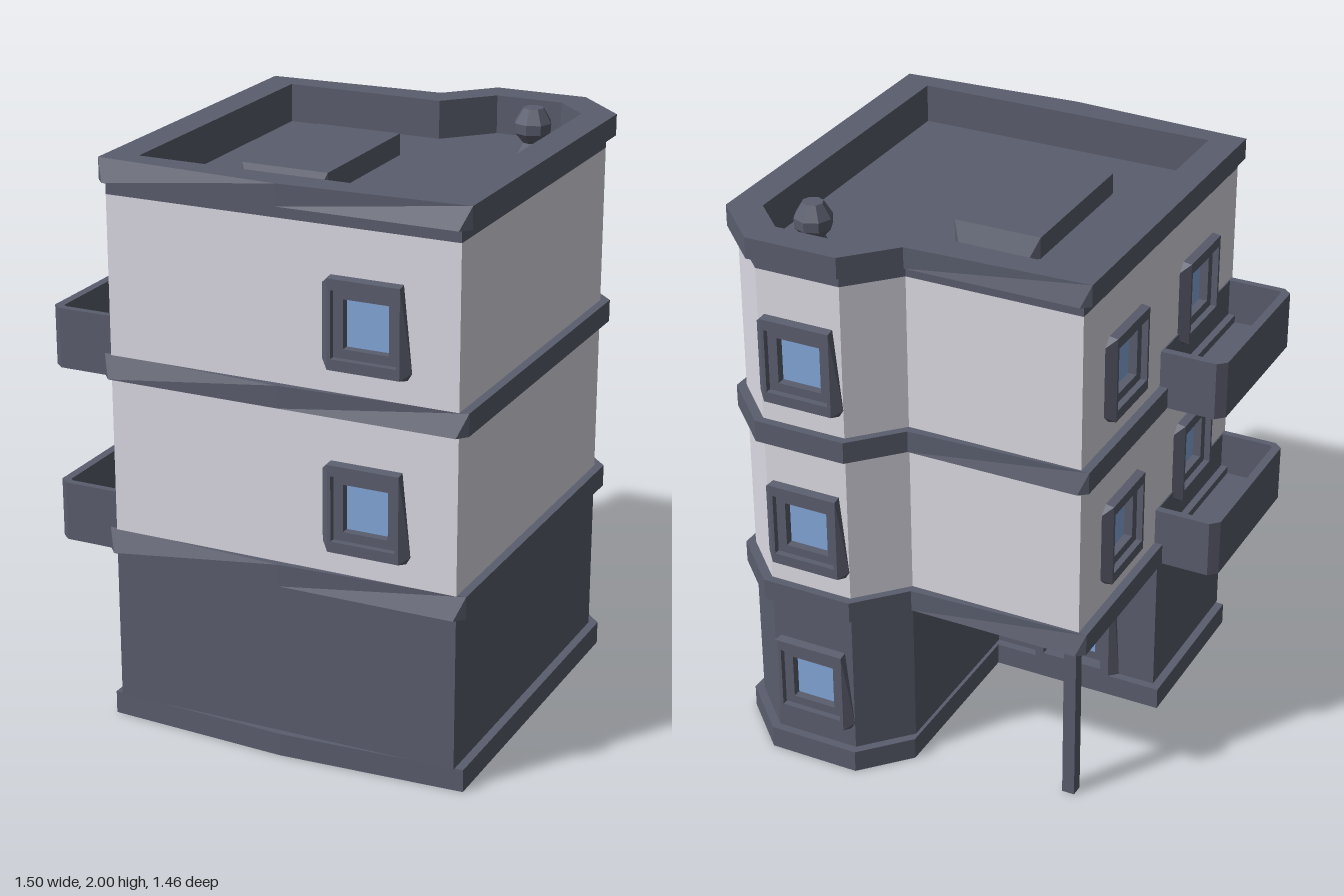
import * as THREE from 'three';

const mat = (name, color) => {
  const m = new THREE.MeshStandardMaterial({ color });
  m.name = name;
  return m;
};
const dark = mat('slate trim', 0x5a5d6d);
const light = mat('pale wall', 0xdcdbe4);
const blue = mat('window glass', 0x83a7da);

// Flat-faced solid between two plan outlines [x, z], with an optional straight hole
function loft(bottom, top, y0, y1, hole = null) {
  const toV = (list) => list.map(([x, z]) => new THREE.Vector2(x, -z));
  const lo = toV(bottom), hi = toV(top), inner = hole ? toV(hole) : [];
  if (THREE.ShapeUtils.isClockWise(lo)) { lo.reverse(); hi.reverse(); }
  if (hole && !THREE.ShapeUtils.isClockWise(inner)) inner.reverse();
  const pos = [];
  const put = (p, y) => pos.push(p.x, y, -p.y);
  const sides = (a, b) => a.forEach((p, i) => {
    const j = (i + 1) % a.length;
    if (!p.equals(a[j])) { put(p, y0); put(a[j], y0); put(b[j], y1); }
    if (!b[i].equals(b[j])) { put(p, y0); put(b[j], y1); put(b[i], y1); }
  });
  sides(lo, hi);
  if (hole) sides(inner, inner);
  const cap = (ring, y, order) => {
    const all = [...ring, ...inner];
    const faces = THREE.ShapeUtils.triangulateShape([...ring], hole ? [[...inner]] : []);
    for (const f of faces) for (const k of order) put(all[f[k]], y);
  };
  cap(hi, y1, [0, 1, 2]);
  cap(lo, y0, [0, 2, 1]);
  const g = new THREE.BufferGeometry();
  g.setAttribute('position', new THREE.Float32BufferAttribute(pos, 3));
  g.computeVertexNormals();
  return g;
}
const prism = (outline, y0, y1, hole) => loft(outline, outline, y0, y1, hole);
const rect = (w, h) => [[-w, -h], [w, -h], [w, h], [-w, h]];

function add(parent, name, geometry, material) {
  const m = new THREE.Mesh(geometry, material);
  m.name = name;
  parent.add(m);
  return m;
}

// Upper floor plan, grown outwards by d
const plan = (d) => [
  [-0.52 - d, 0.7 + d], [0.72 + d, 0.7 + d], [0.72 + d, -0.535 - 0.41 * d],
  [0.555 + 0.41 * d, -0.7 - d], [0.25 - 0.41 * d, -0.7 - d],
  [0.1 - 0.41 * d, -0.54 - d], [-0.52 - d, -0.54 - d],
];
// Ground floor plan, with the entrance corner cut out
const groundPlan = (d) => [
  ...plan(d).slice(0, 6), [0.1 - 0.41 * d, 0.105 - d], [-0.52 - d, 0.105 - d],
];
// Plinth with a slightly bowed front
const plinthPlan = [[-0.55, 0.69], [0.1, 0.725], [0.75, 0.69], ...groundPlan(0.03).slice(2)];

// Trim band: chamfered corners below, sharp corners above
const bandBack = [[0.75, -0.55], [0.57, -0.73], [0.24, -0.73], [0.09, -0.57]];
const bandLow = [[-0.55, 0.69], [-0.52, 0.725], [0.1, 0.725], [0.72, 0.725], [0.75, 0.69],
  ...bandBack, [-0.52, -0.57], [-0.55, -0.545]];
const bandHigh = [[-0.55, 0.69], [-0.55, 0.69], [0.1, 0.725], [0.75, 0.69], [0.75, 0.69],
  ...bandBack, [-0.55, -0.545], [-0.55, -0.545]];

// Window facing +z, origin on the wall, glass set back behind it
const frameBase = [[-0.125, -0.155], [-0.155, -0.125], [-0.155, 0.125], [-0.125, 0.155],
  [0.14, 0.155], [0.155, 0.13], [0.125, -0.155]];
const frameFace = [[-0.125, -0.15], [-0.125, -0.15], [-0.125, 0.15], [-0.125, 0.15],
  [0.125, 0.15], [0.125, 0.15], [0.125, -0.15]];
const upright = (g) => g.rotateX(Math.PI / 2);
const outerFrame = upright(loft(frameBase, frameFace, 0, 0.03, rect(0.113, 0.113)));
const innerFrame = upright(prism(rect(0.114, 0.114), -0.03, 0.008, rect(0.079, 0.082)));
const pane = upright(prism(rect(0.08, 0.083), -0.03, -0.022));

function makeWindow() {
  const w = new THREE.Group();
  w.name = 'window';
  add(w, 'outerFrame', outerFrame, dark);
  add(w, 'innerFrame', innerFrame, dark);
  add(w, 'glass', pane, blue);
  return w;
}

function makeDoor() {
  const door = new THREE.Group();
  door.name = 'entranceDoor';
  const base = [[-0.145, -0.27], [0.145, -0.27], [0.175, 0.27], [-0.145, 0.27]];
  add(door, 'doorFrame', upright(loft(base, rect(0.145, 0.27), 0, 0.03, rect(0.113, 0.25))), dark);
  add(door, 'doorLeaf', upright(prism(rect(0.114, 0.251), -0.03, -0.02)), dark);
  for (const [y, h] of [[0.11, 0.095], [-0.13, 0.085]]) {
    add(door, 'doorGlass', upright(prism(rect(0.073, h), -0.021, -0.014)), blue).position.y = y;
  }
  return door;
}

// One wall plate per plan edge; openings are [edge, distance along it, height, half width, half height, maker]
function addWalls(parent, name, outline, y0, y1, material, openings) {
  outline.forEach(([x, z], i) => {
    const [x2, z2] = outline[(i + 1) % outline.length];
    const length = Math.hypot(x2 - x, z2 - z);
    const box = (u0, v0, u1, v1) => [[u0, v0], [u1, v0], [u1, v1], [u0, v1]]
      .map(([u, v]) => new THREE.Vector2(u, v));
    const shape = new THREE.Shape(box(0, y0, length, y1));
    const wall = new THREE.Group();
    wall.name = name;
    for (const [edge, u, v, w, h, make] of openings) {
      if (edge !== i) continue;
      shape.holes.push(new THREE.Path(box(u - w, v - h, u + w, v + h)));
      const unit = make();
      unit.position.set(u, v, 0);
      wall.add(unit);
    }
    add(wall, 'wallPlate', new THREE.ShapeGeometry(shape), material);
    wall.position.set(x, 0, z);
    wall.rotation.y = Math.atan2(z - z2, x2 - x);
    parent.add(wall);
  });
}

export function createModel() {
  const house = new THREE.Group();
  house.name = 'apartmentBlock';
  const opening = (edge, u, v) => [edge, u, v, 0.113, 0.113, makeWindow];

  // Ground floor and entrance post
  add(house, 'plinth', prism(plinthPlan, 0, 0.08), dark);
  addWalls(house, 'groundFloorWall', groundPlan(0), 0.08, 0.62, dark, [
    opening(3, 0.15, 0.31),
    [6, 0.31, 0.35, 0.113, 0.25, makeDoor],
  ]);
  add(house, 'cornerPost', new THREE.BoxGeometry(0.045, 0.625, 0.045), dark)
    .position.set(-0.475, 0.3125, -0.487);

  // Upper floors and trim
  const upper = (y) => [opening(0, 0.925, y), opening(3, 0.15, y), opening(6, 0.32, y), opening(6, 0.91, y)];
  add(house, 'lowerBand', loft(bandLow, bandHigh, 0.62, 0.697), dark);
  addWalls(house, 'firstFloorWall', plan(0), 0.697, 1.24, light, upper(0.93));
  add(house, 'middleBand', loft(bandLow, bandHigh, 1.24, 1.317), dark);
  addWalls(house, 'secondFloorWall', plan(0), 1.317, 1.863, light, upper(1.55));

  // Sunken roof and parapet
  add(house, 'roofDeck', prism(plan(-0.012), 1.82, 1.845), dark);
  add(house, 'corniceStrip', prism(plan(0), 1.863, 1.906, plan(-0.08)), dark);
  add(house, 'parapetLining', prism(plan(-0.012), 1.845, 1.863, plan(-0.08)), dark);
  add(house, 'parapetBand', loft(bandLow, bandHigh, 1.906, 1.98, plan(-0.08)), dark);

  // Roof hatch
  const hatchLow = [[-0.21, 0.35], [-0.18, 0.38], [0.07, 0.38], [0.1, 0.35],
    [0.1, -0.205], [0.07, -0.235], [-0.18, -0.235], [-0.21, -0.205]];
  const hatchHigh = hatchLow.map(([x, z]) => [x < 0 ? -0.21 : 0.1, z > 0 ? 0.35 : -0.205]);
  add(house, 'roofHatch', loft(hatchLow, hatchHigh, 1.845, 1.92), dark);

  // Roof vent
  const ventProfile = [[0.055, 1.845], [0.035, 1.88], [0.064, 1.915], [0.066, 1.95], [0.036, 2], [0, 2]]
    .map(([r, y]) => new THREE.Vector2(r, y));
  const ventGeo = new THREE.LatheGeometry(ventProfile, 8).toNonIndexed();
  ventGeo.computeVertexNormals();
  add(house, 'roofVent', ventGeo, dark).position.set(0.49, 0, -0.44);

  // Balconies
  const outer = [[-0.52, 0.075], [-0.72, 0.075], [-0.75, 0.105], [-0.75, 0.665], [-0.72, 0.69], [-0.52, 0.69]];
  const inner = [[-0.525, 0.103], [-0.71, 0.103], [-0.72, 0.113], [-0.72, 0.655], [-0.71, 0.665], [-0.525, 0.665]];
  for (const y of [0.62, 1.24]) {
    add(house, 'balconyRail', prism(outer, y, y + 0.208, inner), dark);
    add(house, 'balconyFloor', prism(inner, y, y + 0.05), dark);
  }

  return house;
}
